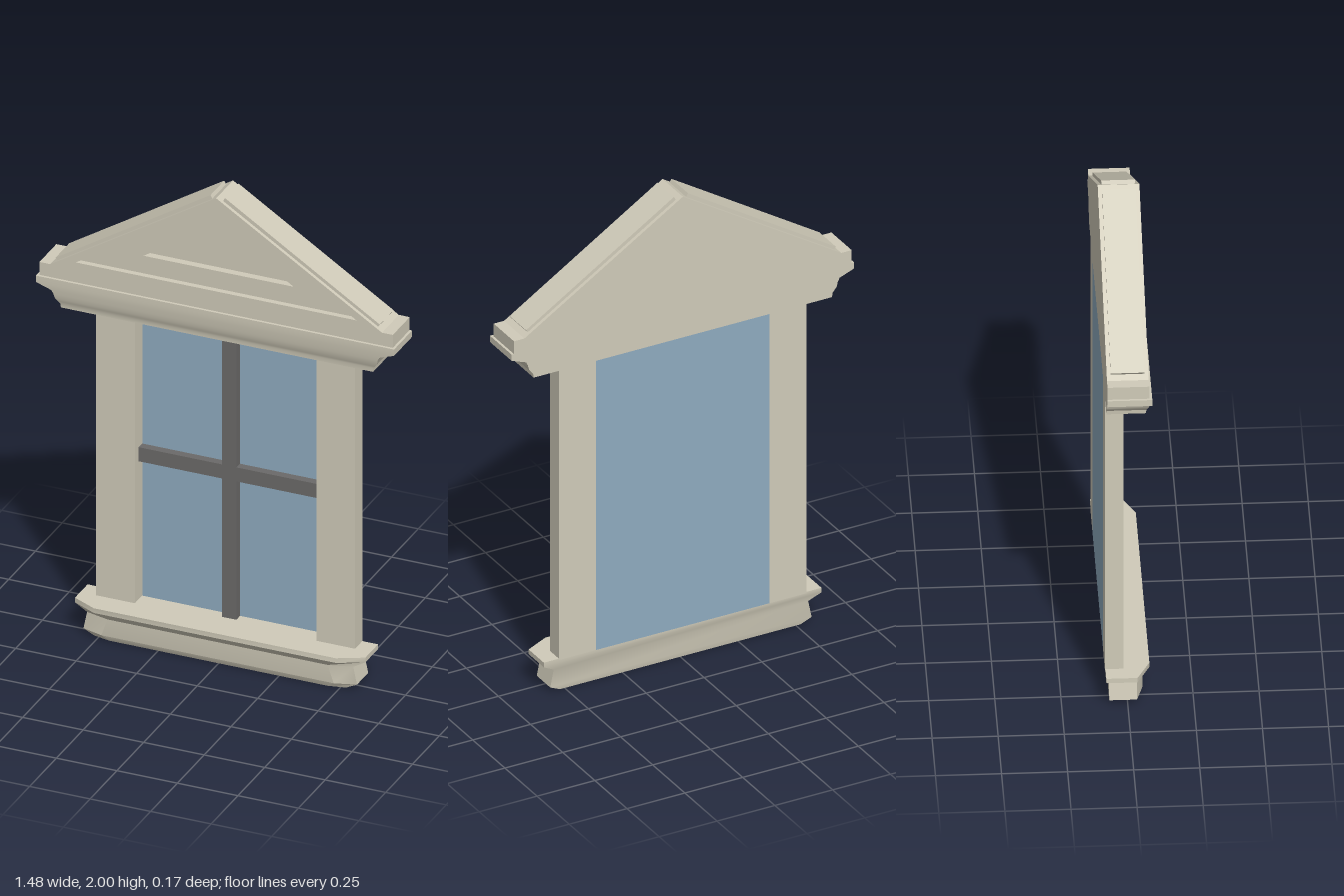
import * as THREE from 'three';
import { toCreasedNormals } from 'three/addons/utils/BufferGeometryUtils.js';

const stone = new THREE.MeshStandardMaterial({ color: 0xd0cbb9 });
const barGrey = new THREE.MeshStandardMaterial({ color: 0x6b6a69 });
const glassBlue = new THREE.MeshStandardMaterial({ color: 0x8fabbf, side: THREE.DoubleSide });
const BACK = -0.085;

function add(parent, name, geometry, material = stone) {
  const mesh = new THREE.Mesh(geometry, material);
  mesh.name = name;
  parent.add(mesh);
  return mesh;
}

function box(parent, name, [x0, x1], [y0, y1], [z0, z1], material) {
  const mesh = add(parent, name, new THREE.BoxGeometry(x1 - x0, y1 - y0, z1 - z0), material);
  mesh.position.set((x0 + x1) / 2, (y0 + y1) / 2, (z0 + z1) / 2);
}

// Closed solid through horizontal rings { y, ring: [[x, z], ...] }, listed bottom to top
function loft(levels) {
  const n = levels[0].ring.length;
  const positions = [];
  const index = [];
  for (const { y, ring } of levels) for (const [x, z] of ring) positions.push(x, y, z);
  for (let l = 0; l < levels.length - 1; l++) {
    for (let i = 0; i < n; i++) {
      const a = l * n + i, b = l * n + (i + 1) % n;
      index.push(a, b, b + n, a, b + n, a + n);
    }
  }
  const top = (levels.length - 1) * n;
  for (let i = 1; i < n - 1; i++) {
    index.push(0, i + 1, i);
    index.push(top, top + i, top + i + 1);
  }
  const geometry = new THREE.BufferGeometry();
  geometry.setAttribute('position', new THREE.Float32BufferAttribute(positions, 3));
  geometry.setIndex(index);
  return toCreasedNormals(geometry, 0.5);
}

// Right half of a ring, mirrored to the left
const mirrorRing = (half) => [...half, ...half.map(([x, z]) => [-x, z]).reverse()];

const toPoints = (list) => list.map(([x, y]) => new THREE.Vector2(x, y));

// Flat plate between two depths, with an optional triangular opening
function plate(outline, hole, z0, z1) {
  const shape = new THREE.Shape(toPoints(outline));
  if (hole) shape.holes.push(new THREE.Path(toPoints(hole)));
  return new THREE.ExtrudeGeometry(shape, { depth: z1 - z0, bevelEnabled: false }).translate(0, 0, z0);
}

export function createModel() {
  const model = new THREE.Group();
  model.name = 'window';

  // Sill with a projecting lip, tapered foot and clipped front corners
  const sillProfile = [ // y, half width, front z, back z, front half width
    [0, 0.52, 0.05, -0.065, 0.45],
    [0.022, 0.565, 0.06, -0.07, 0.48],
    [0.095, 0.55, 0.06, -0.07, 0.455],
    [0.125, 0.6, 0.085, -0.083, 0.5],
    [0.145, 0.6, 0.085, -0.083, 0.5],
  ];
  add(model, 'sill', loft(sillProfile.map(([y, x, front, back, inner]) => ({
    y, ring: mirrorRing([[inner, front], [x, 0.035], [x, back]]),
  }))));

  // Side jambs
  for (const [name, s] of [['leftJamb', 1], ['rightJamb', -1]]) {
    box(model, name, s > 0 ? [0.375, 0.535] : [-0.535, -0.375], [0.14, 1.395], [BACK, -0.015], stone);
  }

  // Glass and the crossed glazing bars
  const glass = add(model, 'glass', new THREE.PlaneGeometry(0.75, 1.25), glassBlue);
  glass.position.set(0, 0.765, BACK);
  const bars = new THREE.Group();
  bars.name = 'glazingBars';
  model.add(bars);
  box(bars, 'verticalBar', [-0.03, 0.03], [0.14, 1.39], [-0.083, -0.048], barGrey);
  box(bars, 'horizontalBar', [-0.375, 0.375], [0.735, 0.795], [-0.083, -0.05], barGrey);

  // Moulded cornice, flat at the back
  const corniceProfile = [ // y, half width, front z
    [1.39, 0.645, 0.065], [1.407, 0.647, 0.066], [1.417, 0.655, 0.07],
    [1.43, 0.665, 0.075], [1.45, 0.67, 0.079], [1.465, 0.678, 0.081],
    [1.488, 0.74, 0.084], [1.515, 0.74, 0.084],
  ];
  add(model, 'cornice', loft(corniceProfile.map(([y, x, z]) => ({
    y, ring: mirrorRing([[x, z], [x, BACK]]),
  }))));

  // Pediment: full back plate and two frames that step inwards
  const gable = [[-0.73, 1.515], [0.73, 1.515], [0.73, 1.57], [0.685, 1.57],
    [0, 1.998], [-0.685, 1.57], [-0.73, 1.57]];
  const outerPanel = [[-0.58, 1.6], [0, 1.968], [0.58, 1.6]];
  const innerPanel = [[-0.31, 1.675], [0, 1.875], [0.31, 1.675]];
  const pediment = new THREE.Group();
  pediment.name = 'pediment';
  model.add(pediment);
  add(pediment, 'pedimentBack', plate(gable, null, BACK, 0.02));
  add(pediment, 'innerFrame', plate(gable, innerPanel, 0.02, 0.05));
  add(pediment, 'outerFrame', plate(gable, outerPanel, 0.05, 0.073));

  // Thin roof strips lying on both slopes
  for (const [name, s] of [['leftRoofStrip', 1], ['rightRoofStrip', -1]]) {
    const strip = [[0.02, 1.98], [0.66, 1.58], [0.67, 1.594], [0.03, 1.998]].map(([x, y]) => [s * x, y]);
    add(pediment, name, plate(strip, null, -0.07, 0.058));
  }
  return model;
}
